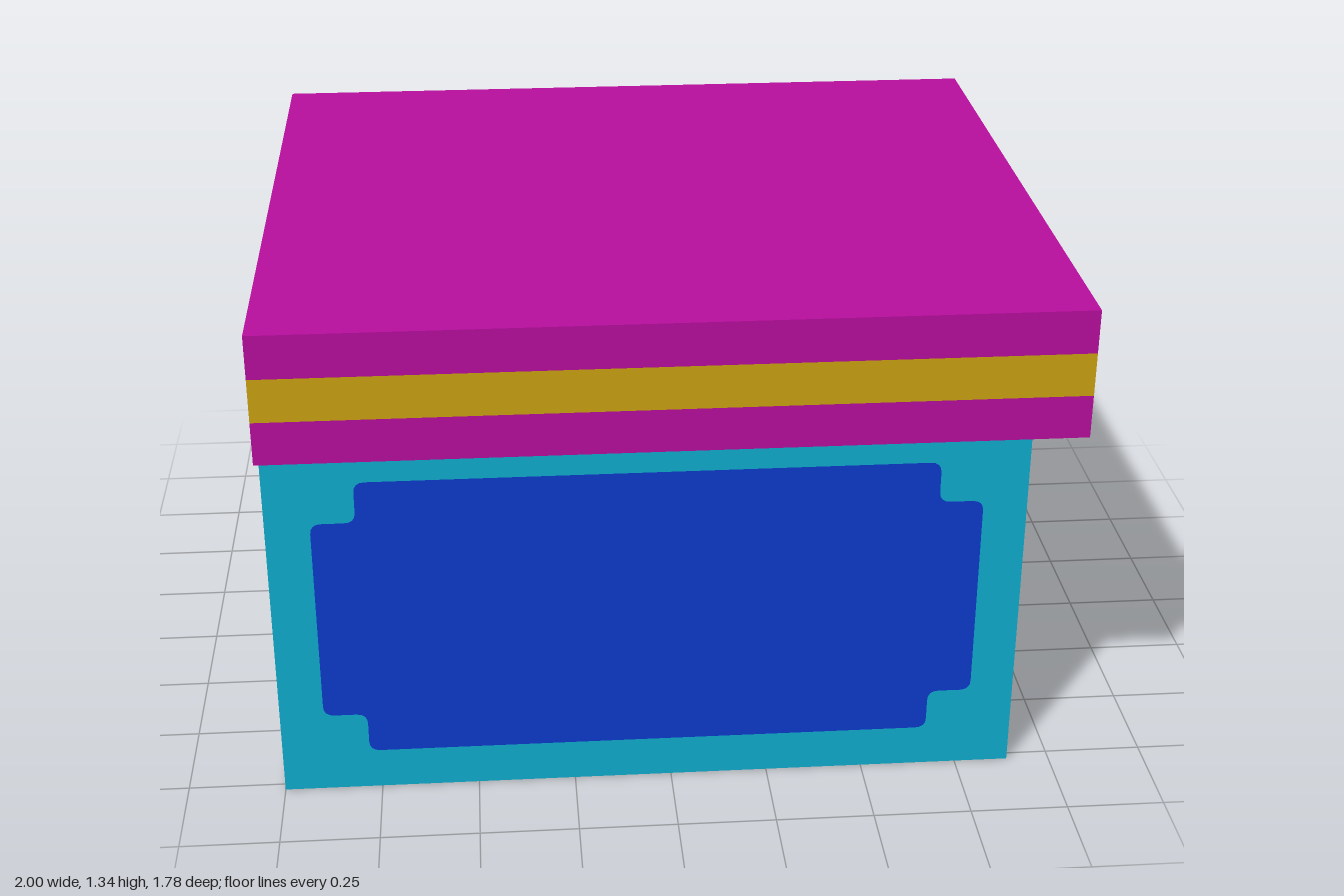
import * as THREE from 'three';

const U = 1 / 9; // the design sits on a grid of ninths

const mat = (name, color) => {
  const m = new THREE.MeshStandardMaterial({ color });
  m.name = name;
  return m;
};

// Closed outline with every corner slightly rounded
function roundedShape(points, r) {
  const pts = points.map(([x, y]) => new THREE.Vector2(x, y));
  const shape = new THREE.Shape();
  pts.forEach((p, i) => {
    const prev = pts[(i + pts.length - 1) % pts.length];
    const next = pts[(i + 1) % pts.length];
    const a = p.clone().add(prev.clone().sub(p).setLength(r));
    const b = p.clone().add(next.clone().sub(p).setLength(r));
    if (i === 0) shape.moveTo(a.x, a.y);
    else shape.lineTo(a.x, a.y);
    shape.quadraticCurveTo(p.x, p.y, b.x, b.y);
  });
  shape.closePath();
  return shape;
}

// Rectangle of half size w, h with square notches of size n cut from its corners
function panelGeometry(w, h, n) {
  const v = w - n, k = h - n;
  const outline = n > 0
    ? [[-v, -h], [v, -h], [v, -k], [w, -k], [w, k], [v, k],
       [v, h], [-v, h], [-v, k], [-w, k], [-w, -k], [-v, -k]]
    : [[-w, -h], [w, -h], [w, h], [-w, h]];
  return new THREE.ShapeGeometry(roundedShape(outline, 0.028), 4);
}

export function createModel() {
  const group = new THREE.Group();
  const cyan = mat('cyan', 0x0eabcc);
  const blue = mat('blue', 0x0c3acb);
  const magenta = mat('magenta', 0xb60d9c);
  const gold = mat('gold', 0xc8a010);

  const add = (name, geometry, material, x, y, z) => {
    const mesh = new THREE.Mesh(geometry, material);
    mesh.name = name;
    mesh.position.set(x, y, z);
    group.add(mesh);
    return mesh;
  };

  // Box body, flush with the lid on the -x side
  const cx = -0.5 * U, cy = 4.5 * U, lift = 0.002;
  add('body', new THREE.BoxGeometry(17 * U, 9 * U, 14 * U), cyan, cx, cy, 0);

  // Inset-look panels on the four sides
  const wide = panelGeometry(7.5 * U, 3.5 * U, U);
  const narrow = panelGeometry(6 * U, 3.5 * U, U);
  add('frontPanel', wide, blue, cx, cy, 7 * U + lift);
  add('backPanel', wide, blue, cx, cy, -7 * U - lift).rotation.y = Math.PI;
  add('leftPanel', narrow, blue, 8 * U + lift, cy, 0).rotation.y = Math.PI / 2;
  add('rightPanel', narrow, blue, -1 - lift, cy, 0).rotation.y = -Math.PI / 2;

  // Plain panel underneath
  const base = panelGeometry(7.5 * U, 6 * U, 0);
  add('bottomPanel', base, blue, cx, -lift, 0).rotation.x = Math.PI / 2;

  // Lid in three equal bands
  const band = new THREE.BoxGeometry(18 * U, U, 16 * U);
  add('lidRim', band, magenta, 0, 9.5 * U, 0);
  add('lidStripe', band, gold, 0, 10.5 * U, 0);
  add('lidTop', band, magenta, 0, 11.5 * U, 0);

  return group;
}
